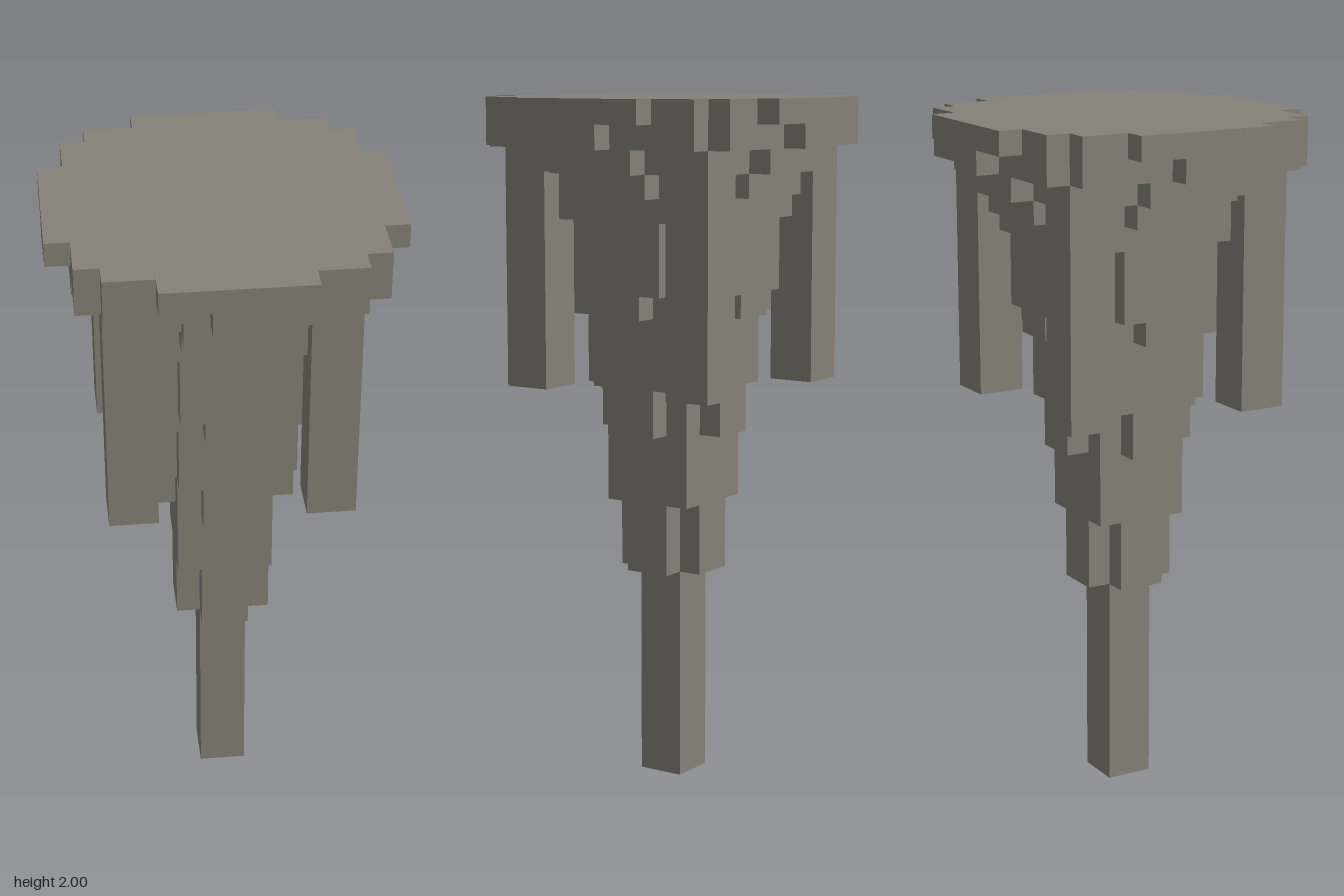
import * as THREE from 'three';

const U = 2 / 29; // one block unit

// Layers from the tip up: name, bottom, top, and the outer corners [x, z] of one quarter
const LAYERS = [
  ['tip', 0, 9, [[1, 1]]],
  ['lowerCollar', 9, 12, [[1, 2], [2, 1]]],
  ['lowerShaft', 12, 15, [[2, 2]]],
  ['middleCollar', 15, 17, [[1, 3], [2, 2], [3, 1]]],
  ['middleShaft', 17, 20, [[2, 3], [3, 2]]],
  ['upperCollar', 20, 21, [[1, 4], [3, 3], [4, 1]]],
  ['upperShaft', 21, 24, [[2, 4], [3, 3], [4, 2]]],
  ['shoulder', 24, 25, [[3, 4], [4, 3]]],
  ['neck', 25, 26, [[2, 5], [3, 4], [4, 3], [5, 2]]],
  ['rimUnderside', 26, 27, [[2, 6], [5, 5], [6, 2]]],
  ['rimLower', 27, 28, [[1, 7], [5, 6], [6, 5], [7, 1]]],
  ['rimTop', 28, 29, [[3, 7], [5, 6], [6, 5], [7, 3]]],
];

// Stepped outline: one quarter turned four times about the axis
function steppedShape(corners) {
  const quarter = [];
  corners.forEach(([x, z], i) => {
    quarter.push([x, z]);
    if (i < corners.length - 1) quarter.push([x, corners[i + 1][1]]);
  });
  const points = [];
  let turn = quarter;
  for (let q = 0; q < 4; q++) {
    turn.forEach(([x, z]) => points.push(new THREE.Vector2(x * U, z * U)));
    turn = turn.map(([x, z]) => [z, -x]);
  }
  return new THREE.Shape(points);
}

export function createModel() {
  const model = new THREE.Group();
  model.name = 'hangingStoneSpike';
  const stone = new THREE.MeshStandardMaterial({ color: 0x858177 });
  stone.name = 'greyStone';

  // Central spike and wide rim
  for (const [name, y0, y1, corners] of LAYERS) {
    const geometry = new THREE.ExtrudeGeometry(steppedShape(corners), {
      depth: (y1 - y0) * U,
      bevelEnabled: false,
    });
    geometry.rotateX(-Math.PI / 2);
    const mesh = new THREE.Mesh(geometry, stone);
    mesh.name = name;
    mesh.position.y = y0 * U;
    model.add(mesh);
  }

  // Four square spikes hanging from the rim
  const spike = new THREE.BoxGeometry(2 * U, 9 * U, 2 * U);
  for (const sx of [-1, 1]) {
    for (const sz of [-1, 1]) {
      const mesh = new THREE.Mesh(spike, stone);
      mesh.name = (sz > 0 ? 'front' : 'back') + (sx > 0 ? 'Left' : 'Right') + 'Spike';
      mesh.position.set(sx * 4 * U, 21.5 * U, sz * 4 * U);
      model.add(mesh);
    }
  }
  return model;
}
